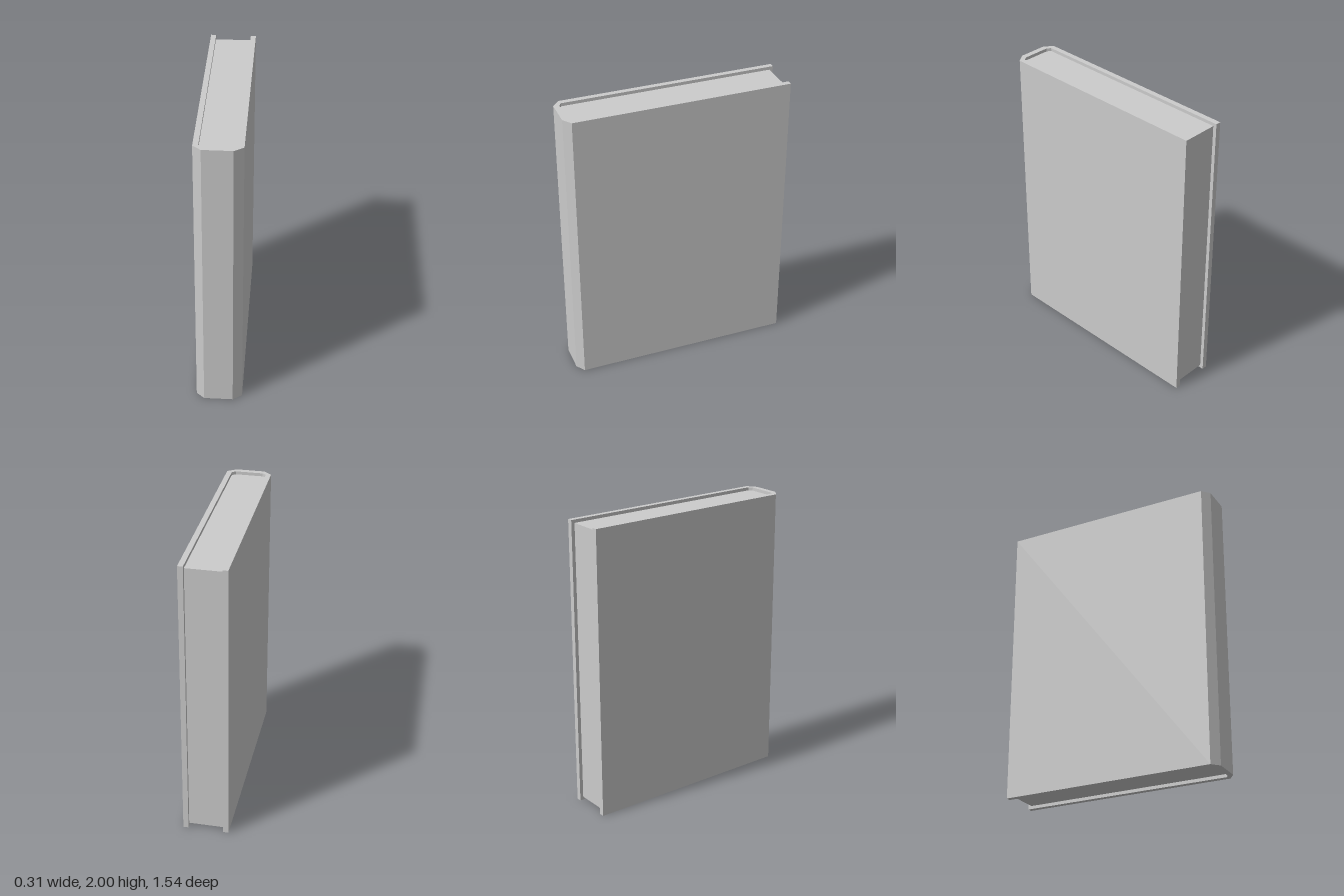
import * as THREE from 'three';

const material = new THREE.MeshStandardMaterial({ color: 0xcccccc, flatShading: true });

// Extrude a plan outline of [x, z] points upward from y0 to y1
function prism(name, points, y0, y1) {
  const shape = new THREE.Shape(points.map(([x, z]) => new THREE.Vector2(x, -z)));
  const geometry = new THREE.ExtrudeGeometry(shape, { depth: y1 - y0, bevelEnabled: false });
  geometry.rotateX(-Math.PI / 2).translate(0, y0, 0);
  const mesh = new THREE.Mesh(geometry, material);
  mesh.name = name;
  return mesh;
}

export function createModel() {
  const group = new THREE.Group();
  group.name = 'book';

  const back = -0.772;       // open edge of the cover boards
  const pageBack = -0.748;   // fore edge of the page block
  const recess = 0.022;      // pages sit inside the cover at top and bottom

  // Chamfered spine, outside and inside, from -x to +x
  const outer = [[-0.157, 0.724], [-0.102, 0.772], [0.095, 0.772], [0.157, 0.728]];
  const inner = [[-0.121, 0.715], [-0.096, 0.734], [0.096, 0.734], [0.121, 0.715]];

  // Cover: two boards joined by the spine in one U-shaped outline
  group.add(prism('cover', [
    [-0.157, back], ...outer, [0.157, back],
    [0.121, back], ...[...inner].reverse(), [-0.121, back],
  ], 0, 2));

  // Page block filling the cover
  group.add(prism('pages', [[-0.121, pageBack], ...inner, [0.121, pageBack]], recess, 2 - recess));

  return group;
}
